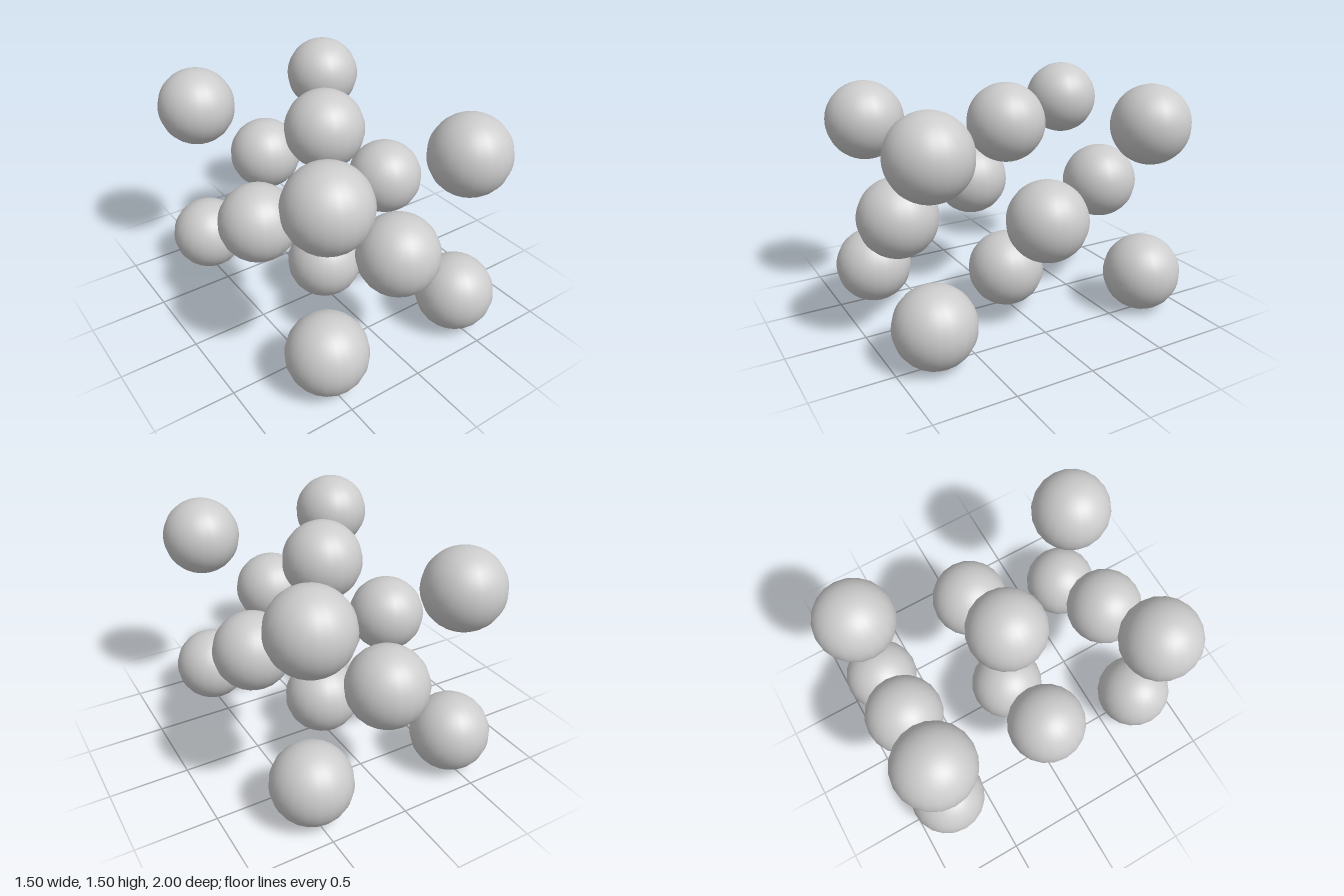
import * as THREE from 'three';

// Face-centred lattice: a ball on each corner and each face centre of a box cell
export function createModel() {
  const group = new THREE.Group();
  const radius = 0.25;
  const half = new THREE.Vector3(0.5, 0.5, 0.75);
  const ball = new THREE.SphereGeometry(radius, 20, 40);
  const material = new THREE.MeshStandardMaterial({ color: 0xcccccc });

  for (const i of [-1, 0, 1]) {
    for (const j of [-1, 0, 1]) {
      for (const k of [-1, 0, 1]) {
        const offAxis = Math.abs(i) + Math.abs(j) + Math.abs(k);
        // 3 = corner, 1 = face centre; edge middles and the cell centre stay empty
        if (offAxis !== 3 && offAxis !== 1) continue;
        const mesh = new THREE.Mesh(ball, material);
        mesh.name = offAxis === 3 ? 'cornerBall' : 'faceBall';
        mesh.position.set(i * half.x, radius + half.y + j * half.y, k * half.z);
        group.add(mesh);
      }
    }
  }
  return group;
}
